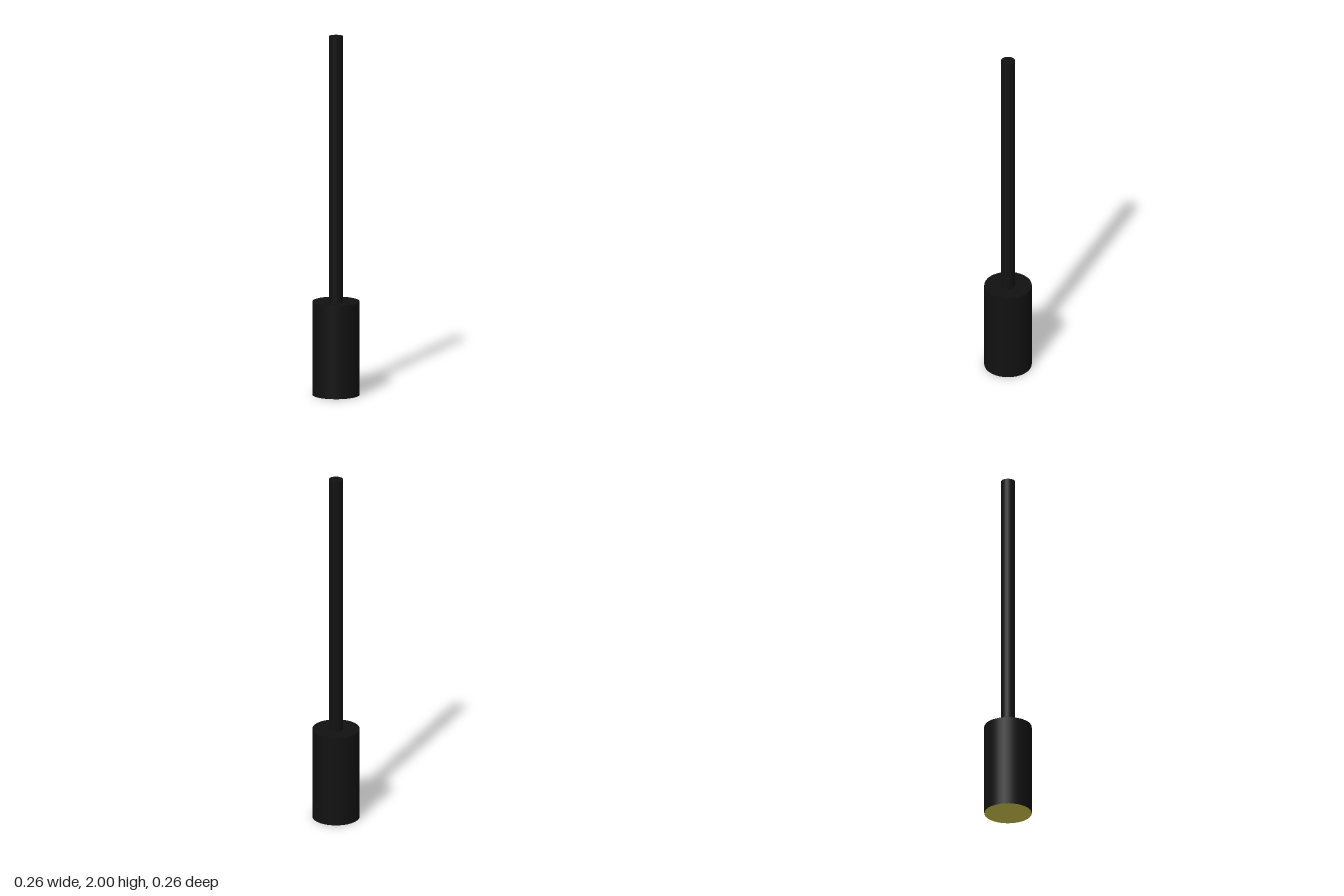
import * as THREE from 'three';

const SHADE_R = 0.13, SHADE_H = 0.52, STEM_R = 0.039, TOTAL_H = 2, SIDES = 32;

export function createModel() {
  const model = new THREE.Group();
  model.name = 'pendantLamp';
  const black = new THREE.MeshStandardMaterial({ color: 0x111111 });
  const glow = new THREE.MeshStandardMaterial({ color: 0xd8ca50 });

  const add = (name, geometry, material, y) => {
    const mesh = new THREE.Mesh(geometry, material);
    mesh.name = name;
    mesh.position.y = y;
    model.add(mesh);
  };

  // Shade: side and top, left open below for the light panel
  const profile = [[SHADE_R, 0], [SHADE_R, SHADE_H]].map(([x, y]) => new THREE.Vector2(x, y));
  add('shadeWall', new THREE.LatheGeometry(profile, SIDES), black, 0);
  add('shadeTop', new THREE.CircleGeometry(SHADE_R, SIDES).rotateX(-Math.PI / 2), black, SHADE_H);

  // Light panel closing the bottom of the shade
  add('lightPanel', new THREE.CircleGeometry(SHADE_R, SIDES).rotateX(Math.PI / 2), glow, 0);

  // Hanging stem
  const stemH = TOTAL_H - SHADE_H;
  add('stem', new THREE.CylinderGeometry(STEM_R, STEM_R, stemH, SIDES), black, SHADE_H + stemH / 2);

  return model;
}
